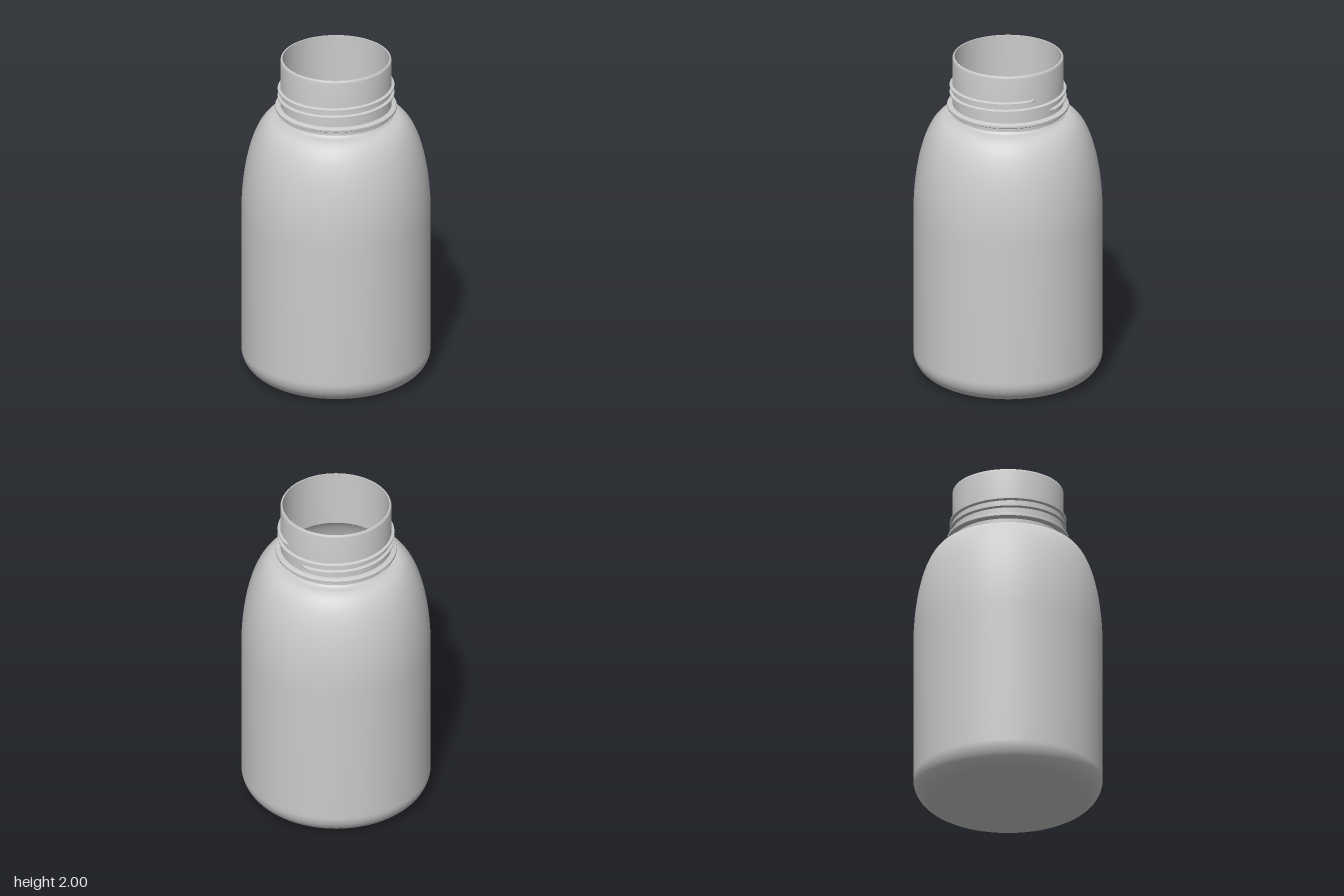
import * as THREE from 'three';
import { toCreasedNormals } from 'three/addons/utils/BufferGeometryUtils.js';

const material = new THREE.MeshStandardMaterial({ color: 0xcccccc, side: THREE.DoubleSide });
const WALL = 0.013;
const NECK = 0.327;

function addMesh(group, name, geometry, crease = 0.6) {
  const mesh = new THREE.Mesh(toCreasedNormals(geometry, crease), material);
  mesh.name = name;
  group.add(mesh);
}

// Half profile of the bottle from base centre to shoulder, inset by the wall thickness
function bodyProfile(inset) {
  const p = new THREE.Path();
  const r = 0.556 - inset;
  p.moveTo(0, 0.015 + inset);
  p.quadraticCurveTo(0.25, 0.015 + inset, 0.41, inset);
  p.absellipse(0.416, 0.14, r - 0.416, 0.14 - inset, -Math.PI / 2, 0, false);
  p.lineTo(r, 1.0);
  p.bezierCurveTo(r, 1.35, 0.47 - inset, 1.635 - inset, 0.35 - inset, 1.635 - inset);
  return p.getPoints(24);
}

// Raised helical ridge with a trapezoid section that fades out at both ends
function threadGeometry() {
  const start = 0.15, end = 4 * Math.PI - 0.18, steps = 240;
  const pitch = 0.047, y0 = 1.741;
  const positions = [], index = [];
  for (let i = 0; i <= steps; i++) {
    const a = start + (end - start) * i / steps;
    const fade = Math.min(1, (a - start) / 0.12, (end - a) / 0.12);
    const h = 0.016 * fade;
    const y = y0 + pitch * a / (2 * Math.PI);
    for (const [dr, dy] of [[-0.002, -0.011], [h, -0.004], [h, 0.004], [-0.002, 0.011]]) {
      const r = NECK + dr;
      positions.push(r * Math.cos(a), y + dy, -r * Math.sin(a));
    }
    if (i === steps) break;
    for (let j = 0; j < 3; j++) {
      const p = i * 4 + j, q = p + 4;
      index.push(p, q, q + 1, p, q + 1, p + 1);
    }
  }
  const g = new THREE.BufferGeometry();
  g.setAttribute('position', new THREE.Float32BufferAttribute(positions, 3));
  g.setIndex(index);
  return g;
}

export function createModel() {
  const group = new THREE.Group();
  group.name = 'bottle';
  const v = (x, y) => new THREE.Vector2(x, y);

  // Hollow shell: up the outside, over the rounded lip and back down the inside
  const shell = [
    ...bodyProfile(0),
    v(0.337, 1.638), v(NECK, 1.65),
    v(NECK, 1.985), v(NECK - 0.002, 1.995), v(NECK - 0.006, 2),
    v(NECK - WALL, 2), v(NECK - WALL, 1.65),
    ...bodyProfile(WALL).reverse().slice(1),
  ];
  addMesh(group, 'bottleShell', new THREE.LatheGeometry(shell, 128));

  // Support collar under the thread
  const collar = [
    v(NECK - 0.003, 1.677), v(0.35, 1.68), v(0.357, 1.685), v(0.358, 1.692),
    v(0.357, 1.699), v(0.35, 1.704), v(NECK - 0.003, 1.706),
  ];
  addMesh(group, 'neckCollar', new THREE.LatheGeometry(collar, 128), 0.8);

  addMesh(group, 'screwThread', threadGeometry());
  return group;
}
